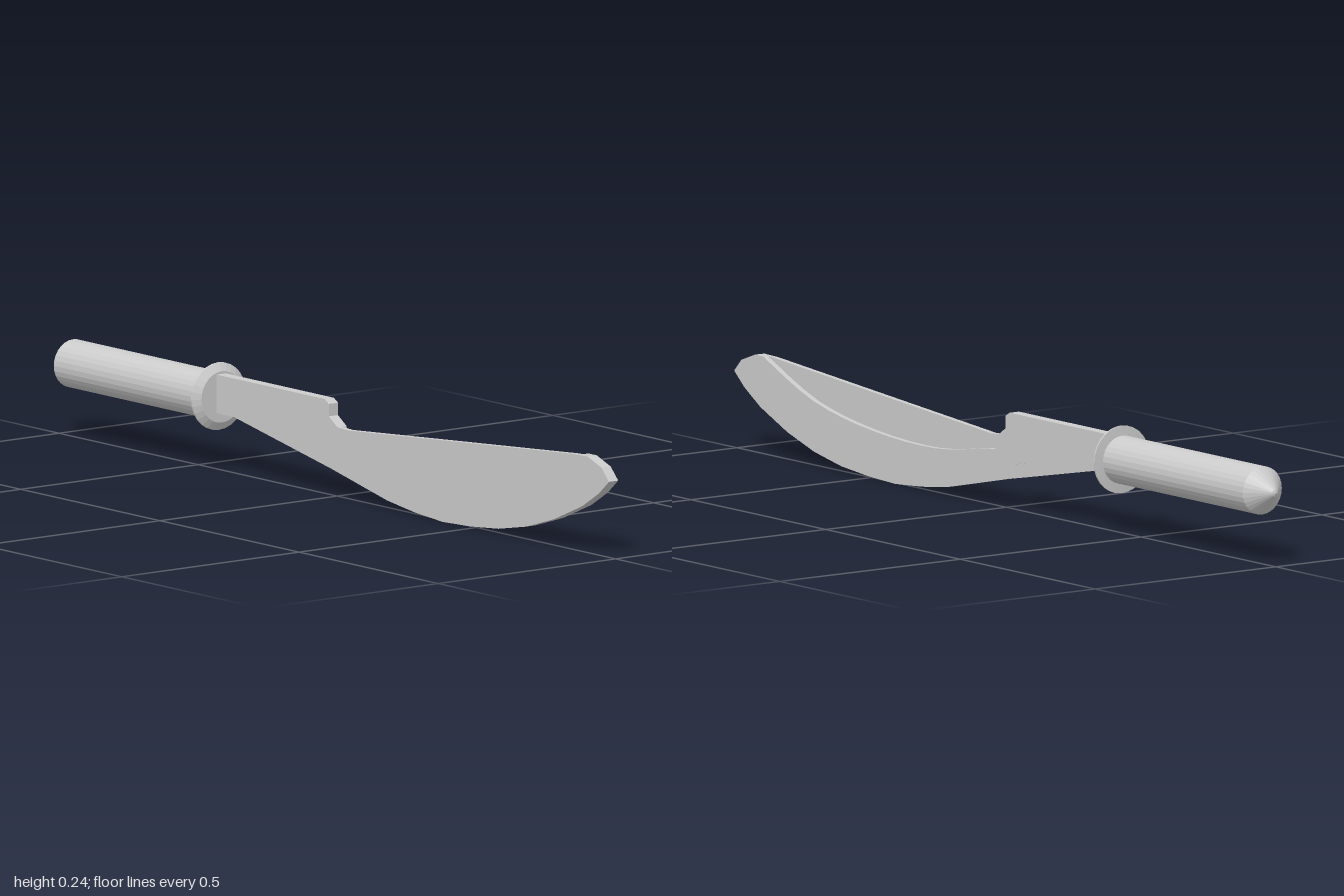
import * as THREE from 'three';

const AXIS_Y = 0.165;
const material = new THREE.MeshStandardMaterial({ color: 0xcccccc, flatShading: true, side: THREE.DoubleSide });

// Flat plate cut from an outline, lying between two z values
function plate(name, points, z0, z1) {
  const shape = new THREE.Shape(points.map(([x, y]) => new THREE.Vector2(x, y)));
  const geometry = new THREE.ExtrudeGeometry(shape, { depth: z1 - z0, bevelEnabled: false });
  geometry.translate(0, 0, z0);
  const mesh = new THREE.Mesh(geometry, material);
  mesh.name = name;
  return mesh;
}

// Round part turned about the handle axis; profile is [radius, x]
function turned(name, profile) {
  const geometry = new THREE.LatheGeometry(profile.map(([r, x]) => new THREE.Vector2(r, x)), 28);
  geometry.rotateZ(-Math.PI / 2);
  geometry.translate(0, AXIS_Y, 0);
  const mesh = new THREE.Mesh(geometry, material);
  mesh.name = name;
  return mesh;
}

export function createModel() {
  const group = new THREE.Group();
  group.name = 'knife';

  // Outline pieces shared by the front sheet and the raised back parts
  const tangTop = [[-0.42, 0.217], [-0.025, 0.217], [-0.01, 0.208], [-0.01, 0.18], [0.02, 0.16]];
  const spine = [[0.06, 0.158], [0.87, 0.22]];
  const tip = [[0.92, 0.221], [0.97, 0.203], [0.997, 0.175]];
  const edge = [[0.96, 0.143], [0.9, 0.106], [0.8, 0.063], [0.7, 0.032], [0.6, 0.013],
    [0.5, 0.004], [0.4, 0], [0.3, 0.007], [0.2, 0.02], [0, 0.063]];

  // Front sheet of the whole blade
  group.add(plate('bladeSheet', [...tangTop, ...spine, ...tip, ...edge, [-0.35, 0.13], [-0.42, 0.13]], 0.003, 0.016));

  // Thick cutting band behind it, bounded above by a sweeping ridge
  const ridge = new THREE.SplineCurve([[-0.02, 0.13], [0.06, 0.125], [0.25, 0.1], [0.48, 0.108], [0.7, 0.145], [0.89, 0.221]]
    .map(([x, y]) => new THREE.Vector2(x, y))).getPoints(20).map((p) => [p.x, p.y]);
  group.add(plate('cuttingBand', [...ridge, ...tip, ...edge, [-0.03, 0.07]], -0.01, 0.003));

  // Thick tang with an arched lower edge
  group.add(plate('tang', [...tangTop, [0.03, 0.13], [-0.03, 0.1], [-0.09, 0.113], [-0.16, 0.122],
    [-0.25, 0.127], [-0.42, 0.13]], -0.01, 0.003));

  // Grip with a pointed pommel, and a bevelled guard ring
  group.add(turned('handle', [[0, -1], [0.008, -0.997], [0.054, -0.95], [0.054, -0.42], [0, -0.42]]));
  group.add(turned('guard', [[0.05, -0.431], [0.076, -0.429], [0.076, -0.425], [0.058, -0.414], [0, -0.414]]));
  return group;
}
